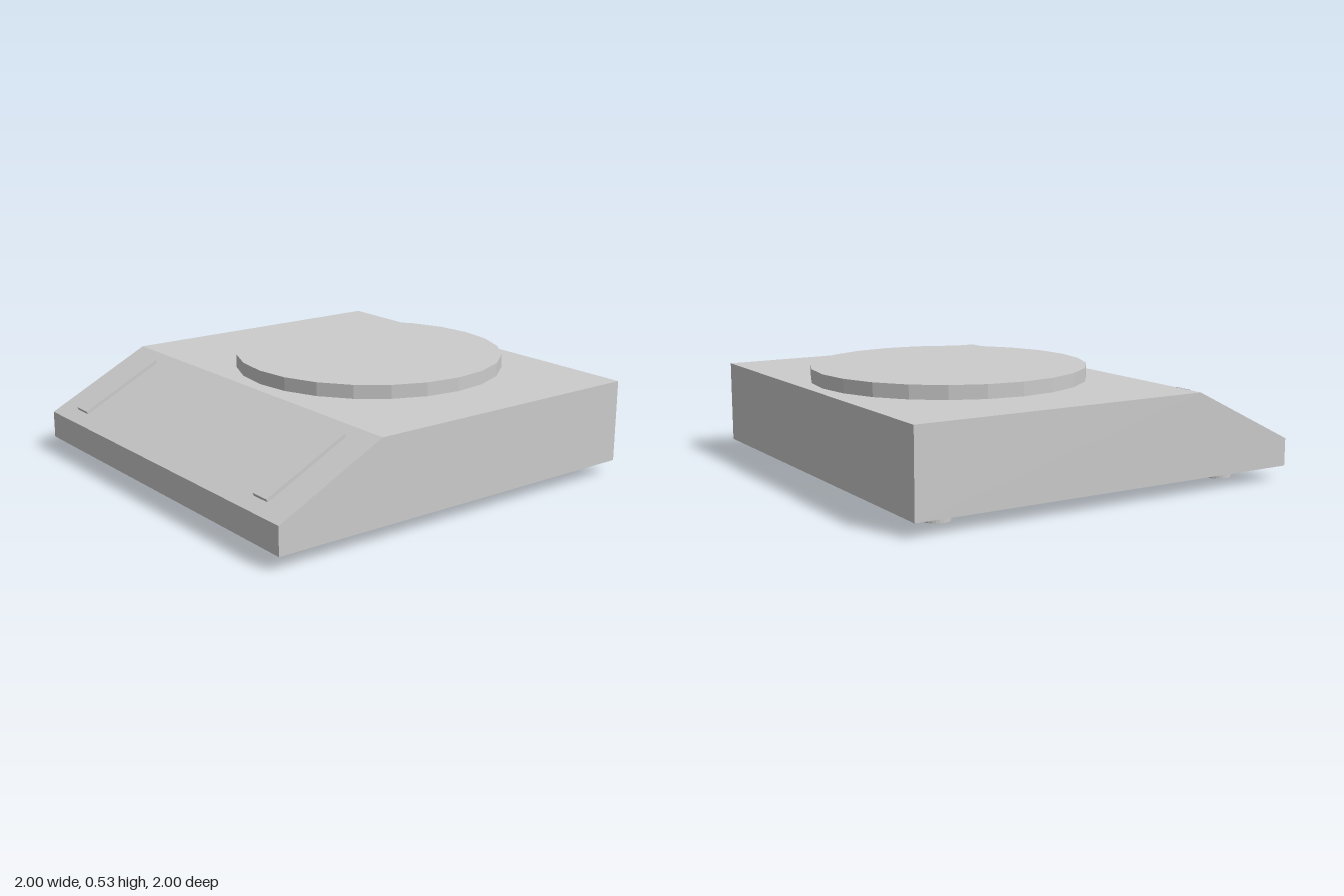
import * as THREE from 'three';

export function createModel() {
  const model = new THREE.Group();
  const material = new THREE.MeshStandardMaterial({ color: 0xcccccc, flatShading: true });

  function add(name, geometry, x, y, z) {
    const mesh = new THREE.Mesh(geometry, material);
    mesh.name = name;
    mesh.position.set(x, y, z);
    model.add(mesh);
    return mesh;
  }

  // Housing: side profile (z, y) extruded across the width
  const top = 0.467, bottom = 0.067, lip = 0.2, slopeZ = 0.467;
  const profile = new THREE.Shape([
    new THREE.Vector2(-1, bottom),
    new THREE.Vector2(1, bottom),
    new THREE.Vector2(1, lip),
    new THREE.Vector2(slopeZ, top),
    new THREE.Vector2(-1, top),
  ]);
  const housing = new THREE.ExtrudeGeometry(profile, { depth: 2, bevelEnabled: false });
  housing.translate(0, 0, -1).rotateY(-Math.PI / 2);
  add('housing', housing, 0, 0, 0);

  // Round weighing plate
  add('plate', new THREE.CylinderGeometry(0.667, 0.667, 0.066, 24), 0, 0.5, -0.267);

  // Raised strips, half sunk into the sloping front panel
  const slope = Math.atan2(top - lip, 1 - slopeZ);
  for (const [name, x] of [['rightStrip', -0.8], ['leftStrip', 0.778]]) {
    const strip = add(name, new THREE.BoxGeometry(0.102, 0.033, 0.455), x, 0.3355, 0.729);
    strip.rotation.x = slope;
  }

  // Four feet
  for (const [side, x] of [['Right', -0.773], ['Left', 0.768]]) {
    for (const [end, z] of [['front', 0.779], ['back', -0.776]]) {
      add(`${end}${side}Foot`, new THREE.CylinderGeometry(0.066, 0.066, bottom, 24), x, bottom / 2, z);
    }
  }

  return model;
}
